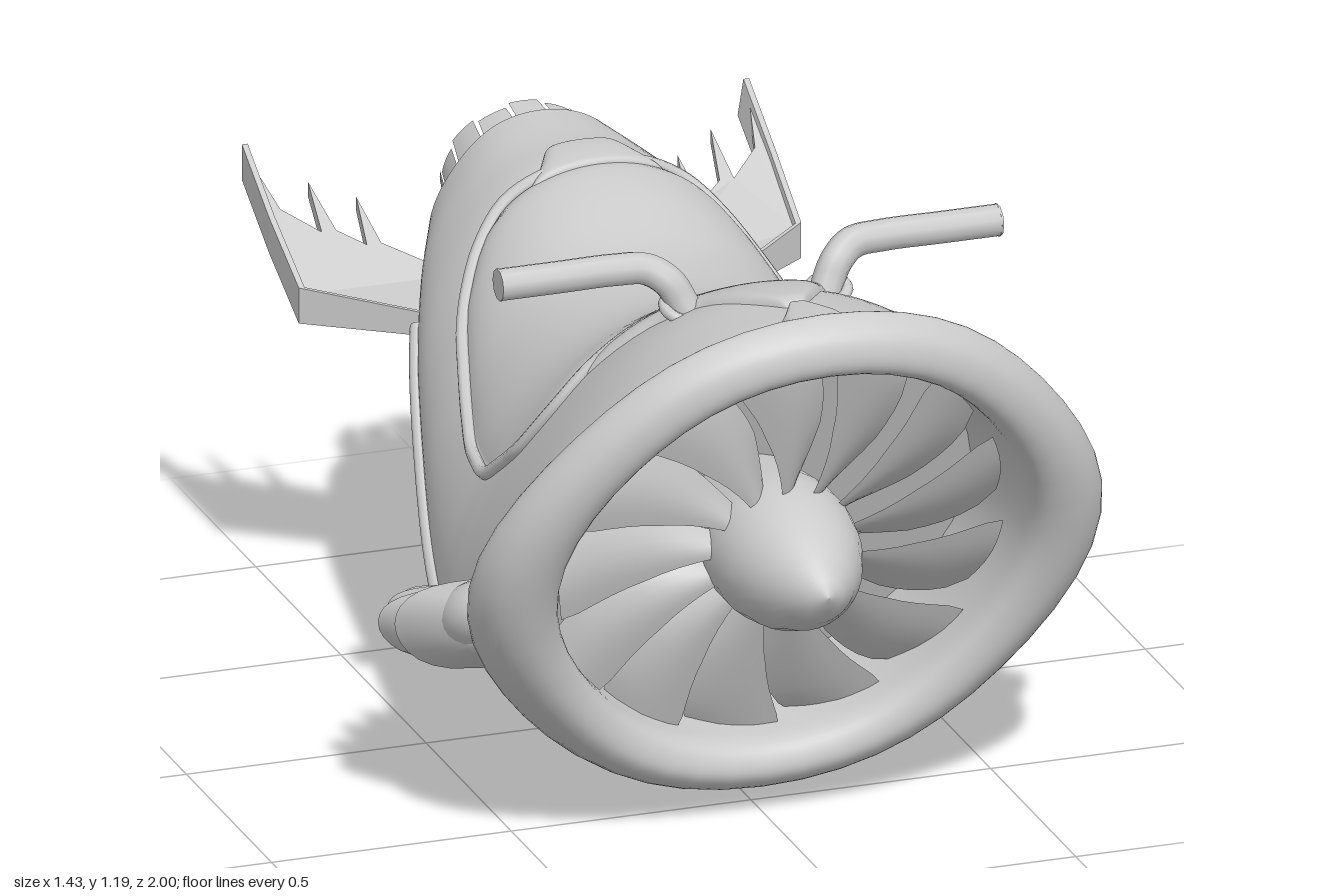
import * as THREE from 'three';
import { mergeVertices } from 'three/addons/utils/BufferGeometryUtils.js';

const { PI, sin, cos, abs, min, max } = Math;
const mat = new THREE.MeshStandardMaterial({ color: 0xcccccc, side: THREE.DoubleSide });
const V = (x, y, z) => new THREE.Vector3(x, y, z);
const lerp = THREE.MathUtils.lerp;

// Smooth surface from a rule f(s, t) -> Vector3, s and t in 0..1
function grid(nu, nv, f) {
  const pos = [], idx = [];
  for (let i = 0; i <= nu; i++) for (let j = 0; j <= nv; j++) pos.push(...f(i / nu, j / nv).toArray());
  for (let i = 0; i < nu; i++) for (let j = 0; j < nv; j++) {
    const a = i * (nv + 1) + j, b = a + nv + 1;
    idx.push(a, b, a + 1, b, b + 1, a + 1);
  }
  let g = new THREE.BufferGeometry();
  g.setAttribute('position', new THREE.Float32BufferAttribute(pos, 3));
  g.setIndex(idx);
  g = mergeVertices(g, 1e-4);
  g.computeVertexNormals();
  return g;
}

// Piecewise linear and smooth table lookups
function table(rows, u) {
  const i = max(0, rows.findIndex((r, k) => k === rows.length - 2 || u < rows[k + 1][0]));
  const [a, b] = [rows[i], rows[i + 1]];
  return lerp(a[1], b[1], min(1, max(0, (u - a[0]) / (b[0] - a[0]))));
}
function smoothRow(rows, u) {
  const n = rows.length - 1, i = min(n - 1, max(0, Math.floor(u))), t = u - i;
  return rows[i].map((p1, k) => {
    const p2 = rows[i + 1][k], p0 = i ? rows[i - 1][k] : 2 * p1 - p2, p3 = i + 2 <= n ? rows[i + 2][k] : 2 * p2 - p1;
    return p1 + 0.5 * t * (p2 - p0 + t * (2 * p0 - 5 * p1 + 4 * p2 - p3 + t * (3 * (p1 - p2) + p3 - p0)));
  });
}
// Ellipse width with slightly flattened shoulders
const shoulder = (a, k) => cos(a) * (1 - k * sin(2 * a) ** 2);

// Hull sections: top z, y; seam z, y; bottom z, y; half width
const hull = [
  [0.92, 1.16, 0.72, 0.61, 0.57, 0.10, 0.56], [0.78, 1.145, 0.60, 0.56, 0.48, 0.07, 0.568],
  [0.60, 1.115, 0.45, 0.44, 0.38, 0.05, 0.56], [0.42, 1.04, 0.30, 0.37, 0.25, 0.04, 0.545],
  [0.26, 0.96, 0.20, 0.34, 0.16, 0.04, 0.53], [0.10, 0.925, 0.10, 0.335, 0.04, 0.055, 0.505],
  [-0.10, 0.93, -0.08, 0.385, -0.12, 0.14, 0.462], [-0.30, 0.985, -0.26, 0.49, -0.30, 0.26, 0.415],
  [-0.45, 1.01, -0.43, 0.62, -0.45, 0.37, 0.365], [-0.60, 1.0, -0.58, 0.72, -0.59, 0.475, 0.305],
  [-0.74, 1.0, -0.73, 0.775, -0.70, 0.555, 0.235],
];
function surf(u, a) {
  const [zt, yt, zs, ys, zb, yb, w] = smoothRow(hull, u);
  const s = sin(a), up = s >= 0, k = abs(s);
  const tuck = up ? 1 : 1 - 0.05 * min(1, k / 0.12) * min(1, u / 2) * min(1, 10 - u);
  return V(w * shoulder(a, up ? 0.07 : 0.1) * tuck, lerp(ys, up ? yt : yb, k), lerp(zs, up ? zt : zb, k));
}
// Point lifted off the hull along its normal
function raised(u, a, h) {
  const e = 0.01;
  const du = surf(min(10, u + e), a).sub(surf(max(0, u - e), a));
  const da = surf(u, a + e).sub(surf(u, a - e));
  return surf(u, a).addScaledVector(du.cross(da).normalize(), h);
}

// Raised pad on top of the hull, b(u) is its half angle
const pad = (u0, u1, b, h) => grid(36, 36, (s, t) => {
  const u = lerp(u0, u1, s), k = 2 * t - 1;
  const edge = (1 - abs(k) ** 8) * (1 - abs(2 * s - 1) ** 14);
  return raised(u, PI / 2 + k * b(u), h * edge - 0.004 * (1 - edge));
});

const tube = (pts, r, n = 60, closed = false, sides = 8) =>
  new THREE.TubeGeometry(new THREE.CatmullRomCurve3(pts, closed, 'centripetal'), n, r, sides, closed);

export function createModel() {
  const root = new THREE.Group();
  const add = (name, geo, parent = root) => {
    const m = new THREE.Mesh(geo, mat);
    m.name = name;
    parent.add(m);
    return m;
  };

  add('hull', grid(60, 96, (s, t) => surf(s * 10, t * 2 * PI)));
  // Recessed wall inside the tail opening
  add('tailRecess', grid(4, 48, (s, t) => surf(10, t * 2 * PI).lerp(V(0, 0.79, -0.56), s)));

  // Intake cowl: back edge, rolled lip, inner duct (top z, y; bottom z, y; half width)
  const cowl = [
    [0.86, 1.12, 0.27, 0.07, 0.54], [0.905, 1.165, 0.25, 0.005, 0.58], [0.915, 1.18, 0.40, 0.025, 0.652],
    [0.94, 1.19, 0.55, 0.05, 0.638], [0.985, 1.155, 0.60, 0.085, 0.592], [0.995, 1.10, 0.60, 0.125, 0.535],
    [0.96, 1.07, 0.57, 0.155, 0.495], [0.84, 1.06, 0.49, 0.165, 0.485], [0.62, 1.03, 0.27, 0.18, 0.475],
  ];
  add('intakeCowl', grid(40, 48, (s, t) => {
    const a = t * 2 * PI, [zt, yt, zb, yb, w] = smoothRow(cowl, s * 8), k = (sin(a) + 1) / 2;
    const bow = 0.14 * (1 - s) ** 2 * k * (1 - k);
    return V(w * shoulder(a, 0.09 - 0.06 * s), lerp(yb, yt, k), lerp(zb, zt, k) + bow);
  }));
  add('ductBack', grid(1, 48, (s, t) => {
    const a = t * 2 * PI, y = 0.605 + 0.425 * sin(a) * s;
    return V(0.475 * cos(a) * s, y, 0.445 + 0.41 * (y - 0.605));
  }));

  // Fan: pitched, swept blades in the slanted intake plane
  const fan = new THREE.Group();
  fan.name = 'fan';
  root.add(fan);
  const blades = 13;
  for (let i = 0; i < blades; i++) add('fanBlade', grid(10, 6, (s, t) => {
    const r = 0.11 + 0.35 * s, round = 1 - 0.2 * s ** 12;
    const a = ((i + 0.2) / blades) * 2 * PI + 0.2 * s * s + (t - 0.5) * (0.32 + 0.14 * min(1, 2 * s)) * round;
    const x = r * cos(a), y = r * sin(a);
    return V(x, 0.605 + y, 0.66 + 0.4 * y + (t - 0.5) * 0.055 + 0.015 * sin(t * PI));
  }), fan);
  const nose = [[0.13, -0.22], [0.15, -0.06], [0.15, 0.0], [0.138, 0.07], [0.112, 0.14], [0.075, 0.2], [0.035, 0.245], [0, 0.26]];
  const hub = add('fanHub', new THREE.LatheGeometry(nose.map(p => new THREE.Vector2(...p)), 32), fan);
  hub.position.set(0, 0.6, 0.70);
  hub.rotation.x = PI / 2;

  // Saddle with its piped trim
  const seatB = u => table([[3, 0.8], [3.35, 0.95], [4.5, 1.07], [5.5, 1.08], [6.3, 1.03], [7, 0.97], [7.5, 0.82], [7.8, 0.55]], u);
  add('seat', pad(3, 7.8, seatB, 0.018));
  const trim = [];
  for (let k = -4; k <= 4; k++) trim.push(raised(3, PI / 2 + 0.8 * k / 4, 0.004));
  for (let u = 3.35; u < 7.7; u += 0.35) trim.push(raised(u, PI / 2 + seatB(u), 0.004));
  for (let k = 2; k >= -2; k--) trim.push(raised(7.8, PI / 2 + 0.55 * k / 2, 0.004));
  for (let u = 7.55; u > 3.1; u -= 0.35) trim.push(raised(u, PI / 2 - seatB(u), 0.004));
  add('seatTrim', tube(trim, 0.014, 160, true));
  add('seatTab', pad(7.6, 8.4, u => table([[7.6, 0.42], [8, 0.3], [8.4, 0.22]], u), 0.02));

  // Beaked tank cover and the small crest behind the lip
  add('tankCover', pad(1.1, 3.1, u => table([[1.1, 0.03], [1.6, 0.14], [2.2, 0.25], [2.6, 0.4], [3.1, 0.83]], u), 0.018));
  add('lipCrest', pad(0, 1.15, u => table([[0, 0.13], [0.5, 0.11], [1.15, 0.02]], u), 0.016));

  // Exhaust petals around a hollow nozzle
  const nozzle = new THREE.Group();
  nozzle.name = 'nozzle';
  root.add(nozzle);
  const ringPoint = (a, s, r0, r1) => {
    const r = lerp(r0, r1, s), endZ = -0.89 + 0.05 * sin(a);
    return V(r * 1.08 * cos(a), lerp(0.78, 0.84, s) + r * sin(a), lerp(-0.64, endZ, s));
  };
  for (let i = 0; i < 14; i++) add('petal', grid(4, 4, (s, t) =>
    ringPoint((i + 0.5 + (t - 0.5) * (1 - 0.14 * s)) / 14 * 2 * PI, s * (i % 2 ? 1 : 0.93), 0.185, 0.143)), nozzle);
  add('nozzleLiner', grid(4, 32, (s, t) => ringPoint(t * 2 * PI, s * 0.6, 0.172, 0.14)), nozzle);

  for (const side of [1, -1]) {
    const half = new THREE.Group();
    half.name = side > 0 ? 'leftParts' : 'rightParts';
    root.add(half);
    const mir = p => V(p.x * side, p.y, p.z);

    // Handlebar
    const bar = [[0.13, 1.03, 0.54], [0.155, 1.09, 0.52], [0.175, 1.125, 0.51], [0.215, 1.15, 0.49], [0.28, 1.155, 0.485], [0.40, 1.155, 0.485], [0.52, 1.155, 0.485]].map(p => mir(V(...p)));
    add('handlebar', tube(bar, 0.033, 40, false, 10), half);
    const cap = add('handlebarEnd', new THREE.CylinderGeometry(0.033, 0.033, 0.004, 10), half);
    cap.rotation.z = PI / 2;
    cap.position.copy(bar[6]);
    const socket = add('handlebarSocket', new THREE.TorusGeometry(0.04, 0.012, 8, 16), half);
    socket.rotation.set(PI / 2 + 0.3, 0.2 * side, 0);
    socket.position.copy(mir(V(0.15, 1.07, 0.525)));

    // Ledge along the hull seam
    const ledge = [];
    for (let u = 1.3; u <= 8.6; u += 0.4) ledge.push(mir(raised(u, 0, 0.002)));
    add('seamLedge', tube(ledge, 0.015), half);

    // Overlapping feathers: z, outer x, centre y, half height at root and tip
    const feathers = [
      [0.63, 0.59, 0.50, 0.05, 0.42, 0.715, 0.44, 0.095], [0.47, 0.64, 0.43, 0.075, 0.28, 0.70, 0.39, 0.075],
      [0.34, 0.61, 0.40, 0.06, 0.18, 0.645, 0.375, 0.055], [0.23, 0.57, 0.38, 0.045, 0.10, 0.585, 0.36, 0.038],
    ];
    for (const [z0, x0, y0, h0, z1, x1, y1, h1] of feathers) add('feather', grid(8, 16, (s, t) => {
      const a = (t - 0.5) * PI * 1.1, bulge = s ** 0.65, inner = lerp(0.54, 0.5, s);
      const tip = 0.5 + 0.5 * cos(a * 1.6);
      return mir(V(lerp(inner, lerp(x0, x1, bulge), max(0, cos(a)) ** 0.5), lerp(y0, y1, s) + lerp(h0, h1, bulge) * sin(a), lerp(z0, lerp(z1 + 0.06, z1, tip), s)));
    }), half);
    // Rounded fairing that joins the first feather to the cowl
    const fairing = add('featherFairing', new THREE.SphereGeometry(1, 20, 14), half);
    fairing.scale.set(0.08, 0.07, 0.12);
    fairing.position.set(0.58 * side, 0.485, 0.54);
    fairing.rotation.set(-0.5, 0, 0);

    // Louvred side vent
    for (let i = 0; i < 5; i++) add('ventSlat', grid(4, 10, (s, t) => {
      const u = 4.65 + (i + s * 0.9) * 0.36 + 0.25 * t, a = -0.34 - 0.66 * t;
      return mir(raised(u, a, 0.022 * s * (1 - abs(2 * t - 1) ** 8) - 0.002));
    }), half);

    // Tail fin: toothed plate swept up and back, with a deep outer rail
    const rise = z => table([[0.5, 0.67], [0.68, 0.69], [0.85, 0.785], [1, 0.875]], -z);
    const outline = [[0.2, 0.60], [0.33, 0.52], [0.52, 0.68], [0.525, 1.0], [0.495, 0.87], [0.43, 0.81], [0.42, 0.92], [0.40, 0.81], [0.35, 0.77], [0.335, 0.875], [0.32, 0.77], [0.25, 0.72], [0.2, 0.68]];
    const plate = new THREE.ExtrudeGeometry(new THREE.Shape(outline.map(([x, z]) => new THREE.Vector2(x * side, z))), { depth: 0.03, bevelEnabled: false });
    const p = plate.attributes.position;
    for (let i = 0; i < p.count; i++) p.setXYZ(i, p.getX(i), rise(-p.getY(i)) + p.getZ(i) - 0.02, -p.getY(i));
    plate.computeVertexNormals();
    add('tailFin', plate, half);
    const path = [[0.29, -0.49], [0.52, -0.68], [0.525, -0.84], [0.525, -1.0]];
    for (let k = 0; k < 3; k++) add('tailFinRail', grid(1, 4, (s, t) => {
      const x = lerp(path[k][0], path[k + 1][0], s), z = lerp(path[k][1], path[k + 1][1], s);
      const low = z > -0.6 ? -0.02 : -0.05;
      const o = [[0, 0.025], [0.012, 0.025], [0.012, low], [-0.012, low], [0, 0.025]][Math.round(t * 4)];
      return mir(V(x + o[0] - 0.008, rise(z) + o[1], z));
    }).toNonIndexed(), half).geometry.computeVertexNormals();
  }
  return root;
}
